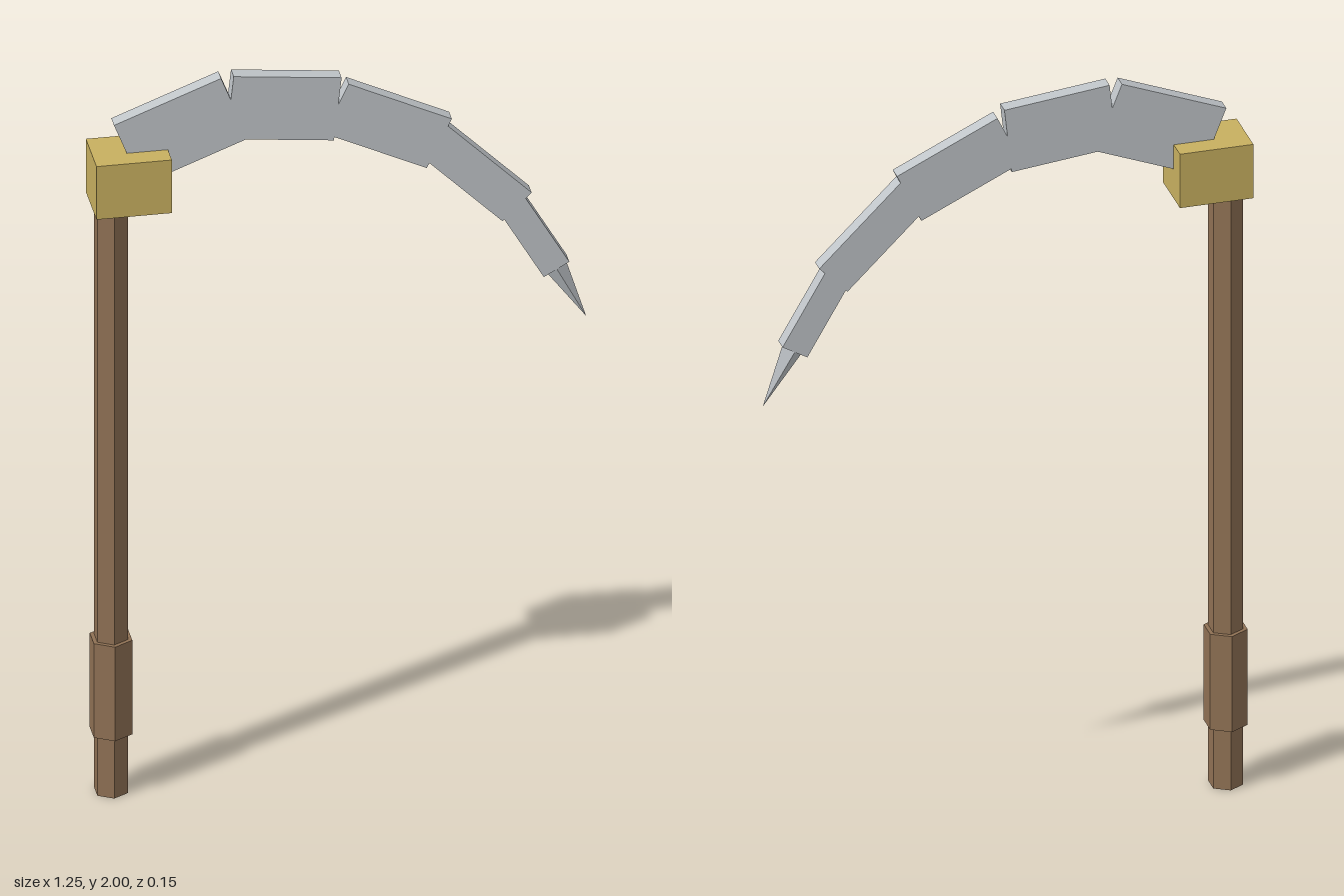
import * as THREE from 'three';

export function createModel() {
  const model = new THREE.Group();
  model.name = 'scythe';

  const material = (name, color) => {
    const m = new THREE.MeshStandardMaterial({ color, flatShading: true });
    m.name = name;
    return m;
  };
  const wood = material('wood', 0x8f7154);
  const brass = material('brass', 0xc8b060);
  const steel = material('steel', 0xc0c5c9);

  const add = (name, geometry, mat, x, y, z = 0) => {
    const mesh = new THREE.Mesh(geometry, mat);
    mesh.name = name;
    mesh.position.set(x, y, z);
    model.add(mesh);
    return mesh;
  };

  // Hexagonal shaft with a thicker grip, and the block that holds the blade
  const shaftX = -0.578;
  add('shaft', new THREE.CylinderGeometry(0.0445, 0.0445, 1.7, 6), wood, shaftX, 0.85);
  add('grip', new THREE.CylinderGeometry(0.056, 0.056, 0.266, 6), wood, shaftX, 0.301);
  add('bladeSocket', new THREE.BoxGeometry(0.19, 0.15, 0.146), brass, -0.533, 1.732);

  // Blade: overlapping plates, each given by the ends of its top edge and its depth
  const plates = [
    [-0.574, 1.889, -0.304, 1.995, 0.189],
    [-0.272, 1.997, 0.0, 1.967, 0.176],
    [0.018, 1.947, 0.278, 1.823, 0.147],
    [0.266, 1.806, 0.479, 1.595, 0.104],
    [0.452, 1.601, 0.574, 1.39, 0.074],
  ];
  plates.forEach(([x0, y0, x1, y1, depth], i) => {
    const angle = Math.atan2(y1 - y0, x1 - x0);
    const length = Math.hypot(x1 - x0, y1 - y0);
    const plate = add(
      `bladePlate${i + 1}`,
      new THREE.BoxGeometry(length, depth, 0.038),
      steel,
      (x0 + x1) / 2 + (Math.sin(angle) * depth) / 2,
      (y0 + y1) / 2 - (Math.cos(angle) * depth) / 2,
    );
    plate.rotation.z = angle;
  });

  // Pointed tip, a flattened four-sided pyramid
  const base = new THREE.Vector2(0.543, 1.372);
  const point = new THREE.Vector2(0.62, 1.222);
  const along = point.clone().sub(base);
  const tipGeometry = new THREE.ConeGeometry(0.029, along.length(), 4).scale(1, 1, 0.68);
  const tip = add('bladeTip', tipGeometry, steel, (base.x + point.x) / 2, (base.y + point.y) / 2);
  tip.rotation.z = along.angle() - Math.PI / 2;

  return model;
}
